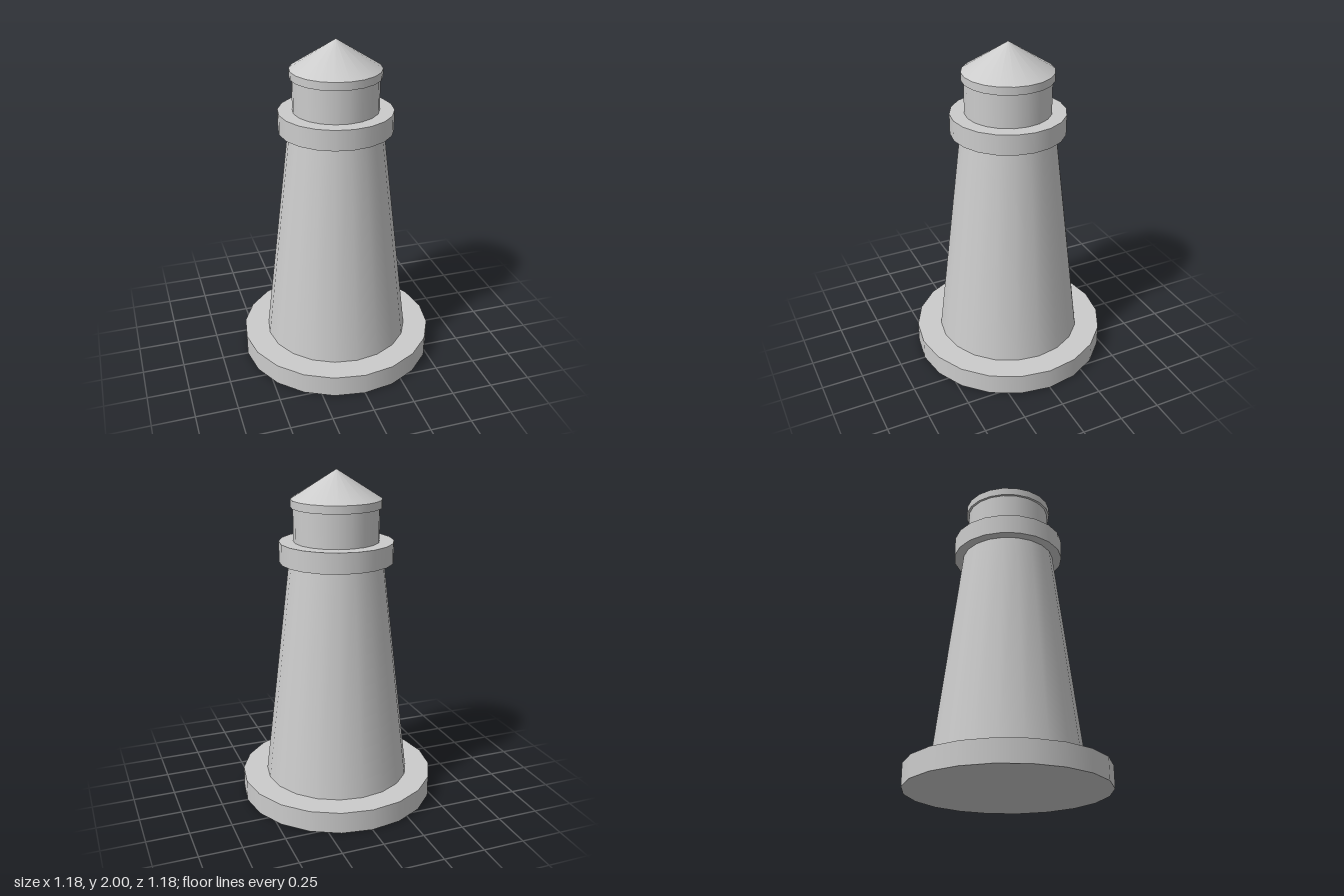
import * as THREE from 'three';

const SIDES = 20;

export function createModel() {
  const group = new THREE.Group();
  group.name = 'lighthouse';
  const material = new THREE.MeshStandardMaterial({ color: 0xcccccc });

  // Round section between two heights, with bottom and top radius
  const addSection = (name, y0, y1, r0, r1 = r0) => {
    const geometry = new THREE.CylinderGeometry(r1, r0, y1 - y0, SIDES);
    const mesh = new THREE.Mesh(geometry, material);
    mesh.name = name;
    mesh.position.y = (y0 + y1) / 2;
    group.add(mesh);
  };

  addSection('base', 0, 0.13, 0.59);
  addSection('tower', 0.13, 1.467, 0.44, 0.28);
  addSection('gallery', 1.467, 1.588, 0.337);
  addSection('lanternRoom', 1.588, 1.785, 0.252);
  addSection('roofRim', 1.785, 1.832, 0.266);
  addSection('roof', 1.832, 2, 0.266, 0);

  return group;
}
